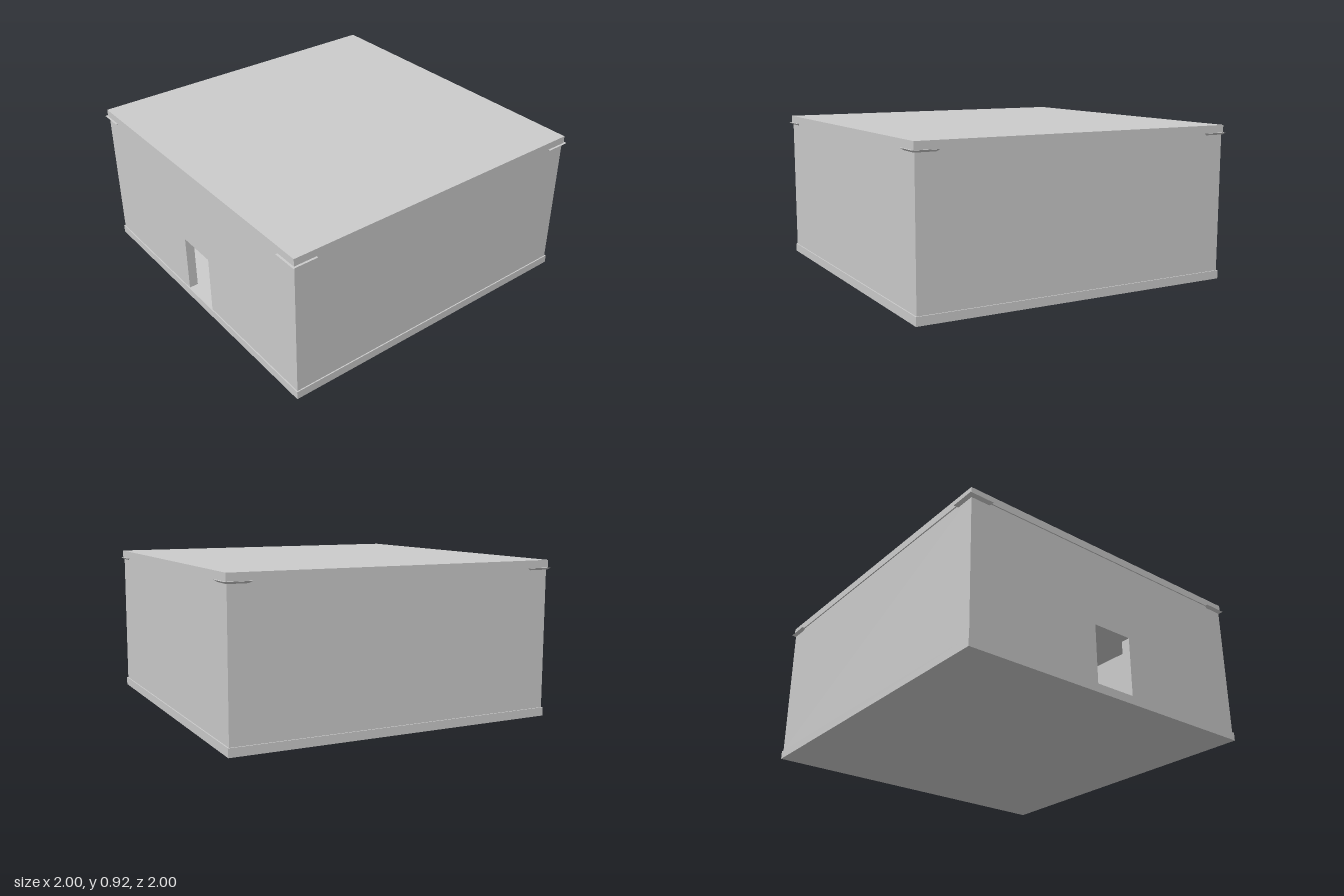
import * as THREE from 'three';

const material = new THREE.MeshStandardMaterial({ color: 0xcccccc, flatShading: true });
const HALF = 0.987; // half width of the floor and roof slabs
const OUT = 0.98; // outer face of the walls
const THICK = 0.055;
const FLOOR = 0.05, CEILING = 0.875, TOP = 0.92;

function add(parent, name, geometry) {
  const mesh = new THREE.Mesh(geometry, material);
  mesh.name = name;
  parent.add(mesh);
  return mesh;
}

function box(parent, name, w, h, d, x, y, z) {
  add(parent, name, new THREE.BoxGeometry(w, h, d)).position.set(x, y, z);
}

function polygon(points) {
  return new THREE.Shape(points.map(([x, y]) => new THREE.Vector2(x, y)));
}

// L-shaped ledge around one corner, its underside tapering back to the wall
function cornerLedge() {
  const inner = 0.96, end = 0.85, bottom = 0.864, height = 0.012;
  const shape = polygon([[1, 1], [end, 1], [end, inner], [inner, inner], [inner, end], [1, end]]);
  const geometry = new THREE.ExtrudeGeometry(shape, { depth: height, bevelEnabled: false });
  const p = geometry.attributes.position;
  const taper = (v) => (v > 0.99 ? 0.983 : v < 0.86 ? end + 0.015 : v);
  for (let i = 0; i < p.count; i++) {
    if (p.getZ(i) < height / 2) p.setXY(i, taper(p.getX(i)), taper(p.getY(i)));
  }
  geometry.rotateX(-Math.PI / 2).translate(0, bottom, 0);
  geometry.computeVertexNormals();
  return geometry;
}

export function createModel() {
  const model = new THREE.Group();
  model.name = 'building';

  // Floor and roof slabs
  box(model, 'floorSlab', 2 * HALF, FLOOR, 2 * HALF, 0, FLOOR / 2, 0);
  box(model, 'roofSlab', 2 * HALF, TOP - CEILING, 2 * HALF, 0, (TOP + CEILING) / 2, 0);

  // Plain walls
  const h = CEILING - FLOOR, midY = (CEILING + FLOOR) / 2;
  const mid = OUT - THICK / 2, inside = OUT - THICK;
  box(model, 'frontWall', 2 * OUT, h, THICK, 0, midY, mid);
  box(model, 'backWall', 2 * OUT, h, THICK, 0, midY, -mid);
  box(model, 'leftWall', THICK, h, 2 * inside, mid, midY, 0);

  // Right wall with an open doorway down to the floor
  const doorHalf = 0.13, doorTop = 0.41;
  const doorWall = polygon([
    [-inside, FLOOR], [-doorHalf, FLOOR], [-doorHalf, doorTop], [doorHalf, doorTop],
    [doorHalf, FLOOR], [inside, FLOOR], [inside, CEILING], [-inside, CEILING],
  ]);
  const doorGeometry = new THREE.ExtrudeGeometry(doorWall, { depth: THICK, bevelEnabled: false });
  doorGeometry.rotateY(-Math.PI / 2).translate(-inside, 0, 0);
  add(model, 'rightDoorWall', doorGeometry);

  // Ledges under the four roof corners
  const ledge = cornerLedge();
  for (let i = 0; i < 4; i++) {
    add(model, `cornerLedge${i + 1}`, ledge).rotation.y = i * Math.PI / 2;
  }
  return model;
}
